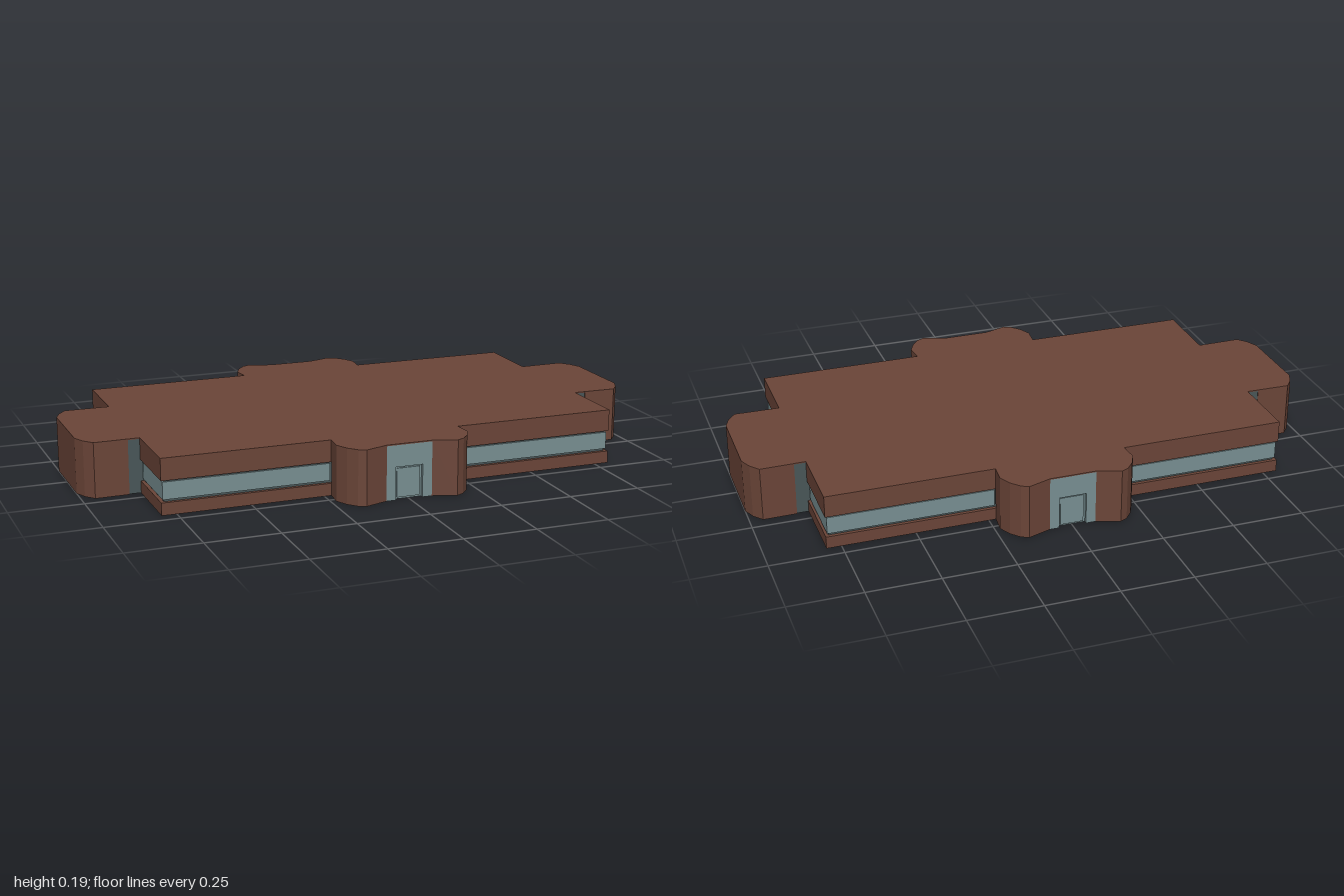
import * as THREE from 'three';

const H = 0.19, ROOF = 0.004;          // total height, roof plate thickness
const BX = 0.80, BZ = 0.457;           // half size of the main block
const AX = 0.08, AZ = 0.578;           // half size of the glazed hall

// One quarter of each plan outline, [x, z]
const porchPlan = [[AX, AZ], [0.16, 0.605], [0.185, 0.593], [0.212, 0.562], [0.232, 0.52], [0.226, BZ]];
const wingPlan = [[BX, 0.207], [0.84, 0.208], [0.955, 0.21], [0.982, 0.177], [1, 0.135]];

export function createModel() {
  const model = new THREE.Group();
  const mat = (color) => new THREE.MeshStandardMaterial({ color, flatShading: true });
  const brick = mat(0x6b4538), glass = mat(0x788f92), frame = mat(0x495658);

  const add = (name, geometry, material) => {
    const mesh = new THREE.Mesh(geometry, material);
    mesh.name = name;
    model.add(mesh);
    return mesh;
  };
  // Box given by its lower and upper limits
  const box = (name, material, x0, x1, y0, y1, z0, z1) =>
    add(name, new THREE.BoxGeometry(Math.abs(x1 - x0), y1 - y0, Math.abs(z1 - z0)), material)
      .position.set((x0 + x1) / 2, (y0 + y1) / 2, (z0 + z1) / 2);
  // Upright prism over a plan outline of [x, z] points
  const prism = (name, material, plan, y0, y1) => {
    const shape = new THREE.Shape(plan.map(([x, z]) => new THREE.Vector2(x, -z)));
    const g = new THREE.ExtrudeGeometry(shape, { depth: y1 - y0, bevelEnabled: false });
    add(name, g.rotateX(-Math.PI / 2).translate(0, y0, 0), material);
  };
  const flip = (plan, sx, sz) => plan.map(([x, z]) => [x * sx, z * sz]);

  // Roof plate covering the whole plan
  const quarter = [...porchPlan, [BX, BZ], ...wingPlan];
  const half = [...quarter, ...flip(quarter, 1, -1).reverse()];
  prism('roof', brick, [...half, ...flip(half, -1, 1).reverse()], H - ROOF, H);

  // Glazed hall running from front to back
  box('glazedHall', glass, -AX, AX, 0, H - ROOF, -AZ + 0.012, AZ - 0.012);

  for (const s of [1, -1]) {
    // Main block: brick base and top around a recessed window band
    box('lowerWall', brick, s * AX, s * BX, 0, 0.042, -BZ, BZ);
    box('windowFrame', frame, s * AX, s * (BX - 0.012), 0.042, 0.115, -BZ + 0.012, BZ - 0.012);
    box('upperWall', brick, s * AX, s * BX, 0.115, H - ROOF, -BZ, BZ);

    // Side wing with a glazed joint against the main block
    const wing = wingPlan.slice(1);
    prism('sideWing', brick, flip([...wing, ...flip(wing, 1, -1).reverse()], s, 1), 0, H - ROOF);
    box('wingGlazing', frame, s * 0.78, s * 0.84, 0.001, H - ROOF, -0.206, 0.206);

    // Entrance wall with a door opening, front (s = 1) and back (s = -1)
    const wall = new THREE.Shape();
    [[-AX, 0], [-0.047, 0], [-0.047, 0.112], [0.047, 0.112], [0.047, 0], [AX, 0], [AX, H - ROOF], [-AX, H - ROOF]]
      .forEach(([x, y], i) => (i ? wall.lineTo(x, y) : wall.moveTo(x, y)));
    const g = new THREE.ExtrudeGeometry(wall, { depth: 0.012, bevelEnabled: false }).translate(0, 0, AZ - 0.012);
    add('entranceWall', g, glass).rotation.y = s > 0 ? 0 : Math.PI;
    box('door', glass, -0.04, 0.04, 0.006, 0.105, s * (AZ - 0.014), s * (AZ - 0.008));

    for (const t of [1, -1]) {
      // Curved brick piers beside the entrances
      prism('entrancePier', brick, flip([...porchPlan, [AX, BZ]], s, t), 0, H - ROOF);
      // Window panes on the long and short walls
      box('longWindow', glass, s * 0.228, s * (BX - 0.006), 0.05, 0.109, t * (BZ - 0.02), t * (BZ - 0.006));
      box('shortWindow', glass, s * (BX - 0.02), s * (BX - 0.006), 0.05, 0.109, t * 0.214, t * (BZ - 0.007));
    }
  }
  return model;
}
